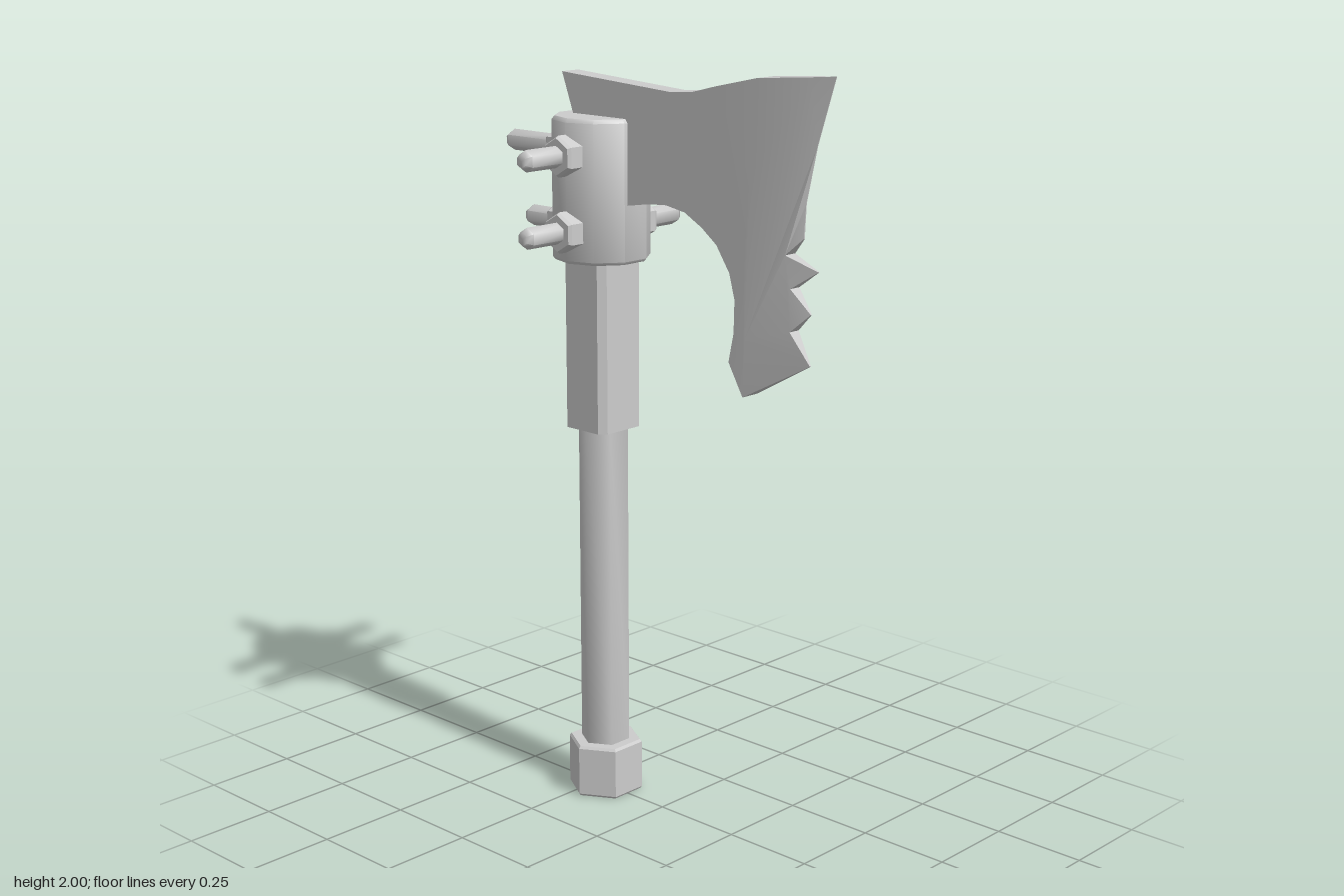
import * as THREE from 'three';
import { toCreasedNormals } from 'three/addons/utils/BufferGeometryUtils.js';

const AXIS_X = -0.215;
const material = new THREE.MeshStandardMaterial({ color: 0xcccccc });

function part(name, geometry) {
  const mesh = new THREE.Mesh(geometry, material);
  mesh.name = name;
  return mesh;
}

// Turned part with few sides; profile runs from the bottom axis to the top axis.
function turned(profile, sides, crease) {
  const points = profile.map(([r, y]) => new THREE.Vector2(r, y));
  return toCreasedNormals(new THREE.LatheGeometry(points, sides), crease);
}

// Upright square bar with chamfered corners.
function chamferedBar(hx, hz, c, y0, y1) {
  const shape = new THREE.Shape([
    [hx - c, -hz], [hx, -hz + c], [hx, hz - c], [hx - c, hz],
    [-hx + c, hz], [-hx, hz - c], [-hx, -hz + c], [-hx + c, -hz],
  ].map(([x, y]) => new THREE.Vector2(x, y)));
  const g = new THREE.ExtrudeGeometry(shape, { depth: y1 - y0, bevelEnabled: false });
  return g.rotateX(-Math.PI / 2).translate(0, y0, 0);
}

// Hex nut and threaded stud pointing along +z.
function bolt(name, length) {
  const group = new THREE.Group();
  group.name = name;
  const nut = turned([[0, 0.1], [0.053, 0.1], [0.053, 0.152], [0.047, 0.161], [0, 0.161]], 6, 0.5);
  const stud = turned([[0, 0.1], [0.028, 0.1], [0.028, length - 0.016], [0.017, length], [0, length]], 6, 1.1);
  group.add(part('nut', nut.rotateX(Math.PI / 2)), part('stud', stud.rotateX(Math.PI / 2)));
  return group;
}

// Plate from a clockwise outline of [x, y, half thickness]; the last edges
// listed in "inner" are joints to a neighbouring plate and get no wall.
function plate(outline, innerEdges, positions) {
  const ring = outline.map(([x, y]) => new THREE.Vector2(x, y));
  const at = (i, side) => [outline[i][0], outline[i][1], side * outline[i][2]];
  const add = (...corners) => corners.forEach((c) => positions.push(...c));
  for (const [a, p, q] of THREE.ShapeUtils.triangulateShape(ring, [])) {
    const ccw = THREE.ShapeUtils.area([ring[a], ring[p], ring[q]]) > 0;
    const [b, c] = ccw ? [p, q] : [q, p];
    add(at(a, 1), at(b, 1), at(c, 1));
    add(at(a, -1), at(c, -1), at(b, -1));
  }
  const n = outline.length;
  for (let i = 0; i < n; i++) {
    if (innerEdges(i)) continue;
    const b = i, a = (i + 1) % n;
    add(at(a, -1), at(b, -1), at(b, 1));
    add(at(a, -1), at(b, 1), at(a, 1));
  }
}

function bladeGeometry() {
  const T = 0.029;
  const full = ([x, y]) => [x, y, T];
  // Line where the flat cheek begins to thin, top to bottom
  const ridge = [[0.335, 1.983], [0.315, 1.75], [0.3, 1.55], [0.305, 1.35], [0.299, 1.2]].map(full);
  const topEdge = [[-0.326, 1.953], [0.05, 1.929], [0.125, 1.934], [0.2, 1.953]].map(full);
  const beard = [
    [0.252, 1.282], [0.268, 1.357], [0.27, 1.441], [0.252, 1.505], [0.209, 1.569],
    [0.16, 1.606], [0.103, 1.637], [0.04, 1.648], [-0.02, 1.644], [-0.093, 1.632],
    [-0.23, 1.62], [-0.25, 1.75],
  ].map(full);
  // Sharp edge with a row of teeth, top to bottom
  const cuttingEdge = [
    [0.49, 1.995, 0.018], [0.553, 2, 0.001], [0.5, 1.834, 0.001], [0.469, 1.696, 0.001],
    [0.464, 1.611, 0.002], [0.421, 1.569, 0.019], [0.511, 1.537, 0.002], [0.437, 1.489, 0.017],
    [0.49, 1.431, 0.002], [0.437, 1.383, 0.017], [0.49, 1.304, 0.002],
  ];
  const positions = [];
  const first = topEdge.length, last = first + ridge.length - 1;
  plate([...topEdge, ...ridge, ...beard], (i) => i >= first && i < last, positions);
  const edge = [ridge[0], ...cuttingEdge, ...[...ridge].reverse().slice(0, -1)];
  plate(edge, (i) => i > cuttingEdge.length, positions);
  const g = new THREE.BufferGeometry();
  g.setAttribute('position', new THREE.Float32BufferAttribute(positions, 3));
  return toCreasedNormals(g, 0.35);
}

export function createModel() {
  const model = new THREE.Group();
  model.name = 'axe';

  const shaft = new THREE.Group();
  shaft.name = 'shaft';
  shaft.position.x = AXIS_X;
  model.add(shaft);

  // Hex pommel with a shallow recess underneath
  shaft.add(part('pommel', turned([
    [0, 0.03], [0.065, 0.03], [0.065, 0], [0.098, 0], [0.1025, 0.006],
    [0.1025, 0.138], [0.097, 0.145], [0, 0.145],
  ], 6, 0.5)));
  shaft.add(part('handle', turned([[0.067, 0.14], [0.067, 1.04]], 6, 1.1)));
  shaft.add(part('grip', chamferedBar(0.075, 0.077, 0.018, 1.03, 1.485)));
  shaft.add(part('collar', turned([
    [0, 1.48], [0.121, 1.48], [0.128, 1.488], [0.128, 1.84], [0.12, 1.85], [0, 1.85],
  ], 10, 0.7)));

  // Two rows of bolts: front, back and opposite the blade
  [[1.563, 0.27], [1.757, 0.34]].forEach(([y, rearLength]) => {
    const rows = [['frontBolt', 0, 0.28], ['backBolt', Math.PI, 0.28], ['rearBolt', -Math.PI / 2, rearLength]];
    for (const [name, turn, length] of rows) {
      const b = bolt(name, length);
      b.position.y = y;
      b.rotation.y = turn;
      shaft.add(b);
    }
  });

  model.add(part('blade', bladeGeometry()));
  return model;
}
